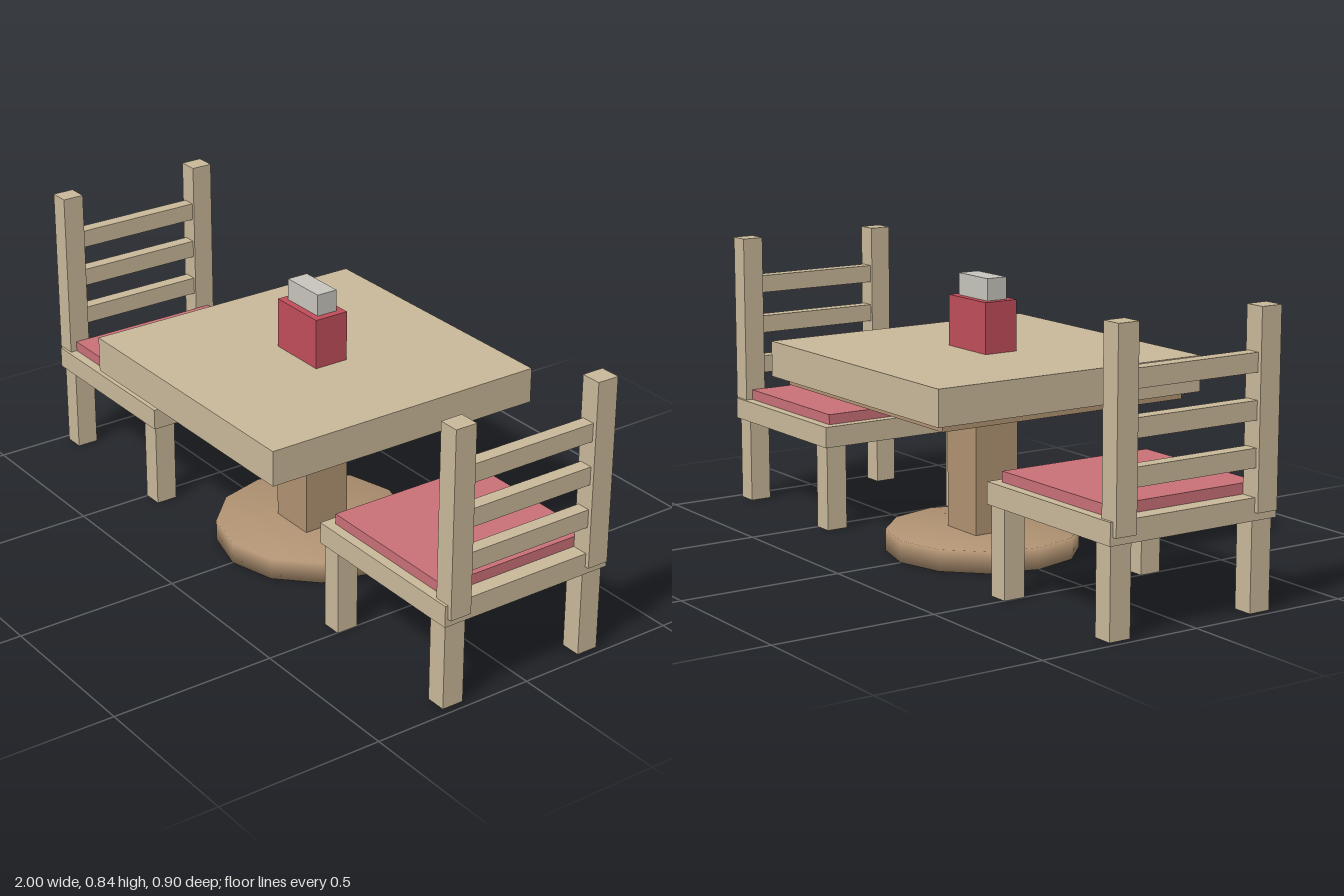
import * as THREE from 'three';
import { mergeVertices } from 'three/addons/utils/BufferGeometryUtils.js';

const material = (name, color) => {
  const m = new THREE.MeshStandardMaterial({ color });
  m.name = name;
  return m;
};

export function createModel() {
  const lightWood = material('light wood', 0xc8b899);
  const brownWood = material('brown wood', 0xb09272);
  const cushionRed = material('cushion red', 0xc87077);
  const boxRed = material('box red', 0xc04d59);
  const paper = material('paper grey', 0xc6c4bc);

  // Box given by its minimum and maximum on each axis
  const box = (parent, name, mat, [x0, x1], [y0, y1], [z0, z1]) => {
    const mesh = new THREE.Mesh(new THREE.BoxGeometry(x1 - x0, y1 - y0, z1 - z0), mat);
    mesh.position.set((x0 + x1) / 2, (y0 + y1) / 2, (z0 + z1) / 2);
    mesh.name = name;
    parent.add(mesh);
    return mesh;
  };
  const sym = (v) => [-v, v];

  const model = new THREE.Group();
  model.name = 'diningSet';

  // Table
  const table = new THREE.Group();
  table.name = 'table';
  model.add(table);
  box(table, 'tableTop', lightWood, sym(0.45), [0.497, 0.603], sym(0.45));
  box(table, 'underPanel', brownWood, sym(0.413), [0.474, 0.497], sym(0.413));
  box(table, 'column', brownWood, sym(0.074), [0.06, 0.474], sym(0.074));

  // Round foot with softly blended normals
  let disc = new THREE.CylinderGeometry(0.288, 0.288, 0.065, 12);
  disc.deleteAttribute('normal');
  disc.deleteAttribute('uv');
  disc = mergeVertices(disc);
  disc.computeVertexNormals();
  const foot = new THREE.Mesh(disc, brownWood);
  foot.position.y = 0.0325;
  foot.name = 'tableFoot';
  table.add(foot);

  // Napkin holder
  const holder = new THREE.Group();
  holder.name = 'napkinHolder';
  model.add(holder);
  box(holder, 'holderBox', boxRed, sym(0.095), [0.603, 0.754], sym(0.054));
  box(holder, 'napkins', paper, sym(0.073), [0.754, 0.819], sym(0.033));

  // Chair on the +x side, facing the table
  const makeChair = (name) => {
    const chair = new THREE.Group();
    chair.name = name;
    box(chair, 'seat', lightWood, [0.43, 0.987], [0.26, 0.324], sym(0.279));
    box(chair, 'cushion', cushionRed, [0.46, 0.938], [0.324, 0.355], sym(0.249));
    for (const z of [[0.203, 0.27], [-0.27, -0.203]]) {
      box(chair, 'frontLeg', lightWood, [0.44, 0.502], [0, 0.26], z);
      box(chair, 'backLeg', lightWood, [0.915, 0.977], [0, 0.26], z);
      box(chair, 'backPost', lightWood, [0.938, 1], [0.283, 0.84], z);
    }
    for (const y of [0.432, 0.561, 0.69]) {
      box(chair, 'backSlat', lightWood, [0.947, 0.988], [y - 0.027, y + 0.027], sym(0.21));
    }
    return chair;
  };
  const rightChair = makeChair('rightChair');
  rightChair.rotation.y = Math.PI;
  model.add(makeChair('leftChair'), rightChair);

  return model;
}
